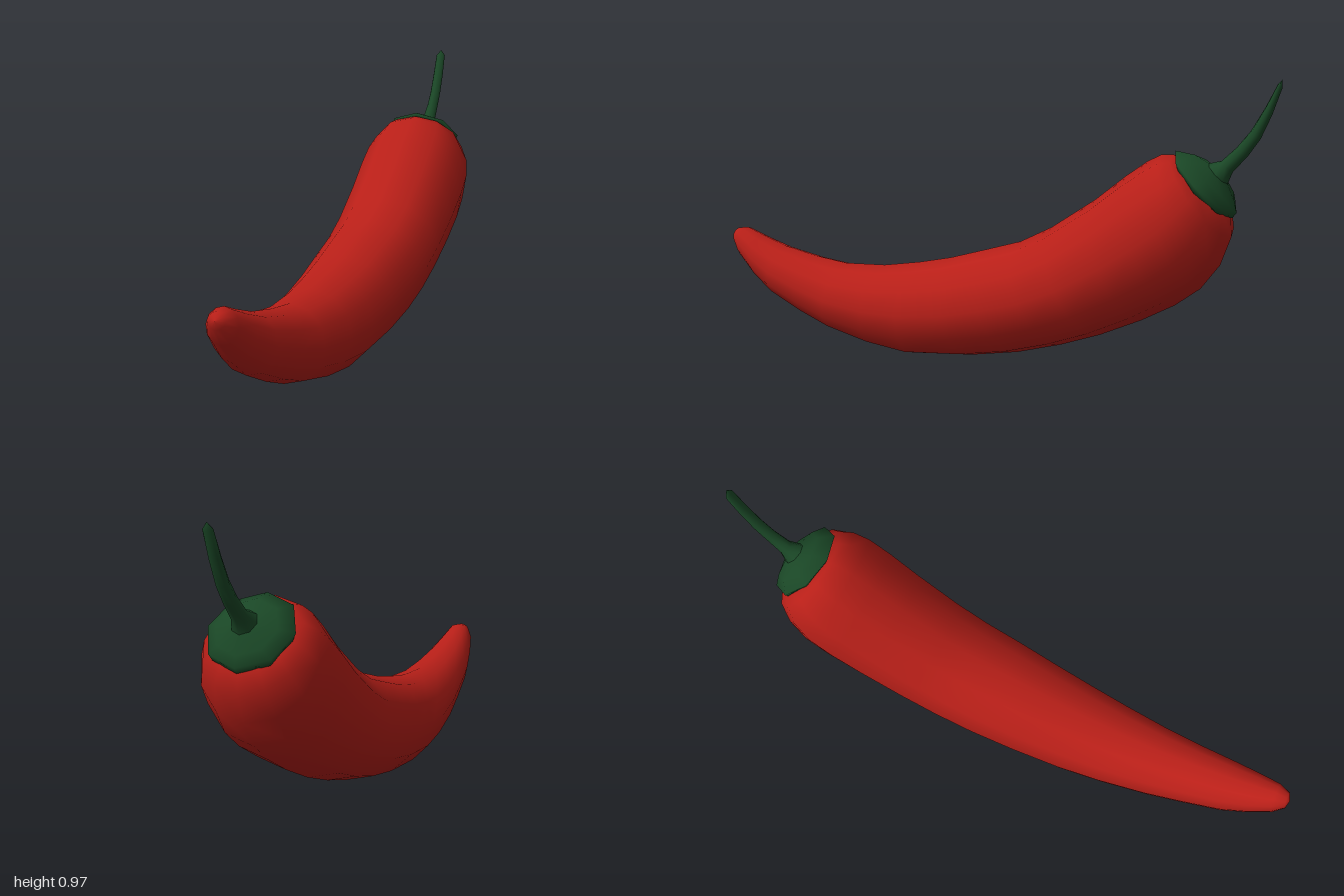
import * as THREE from 'three';

// Lofts a smooth skin through rings running from the front to the back.
// Each ring is [topZ, topY, bottomZ, bottomY, halfWidth]; a zero-size ring closes an end.
function loft(rings, sides) {
  const positions = [], index = [];
  for (const [tz, ty, bz, by, w] of rings) {
    for (let j = 0; j < sides; j++) {
      const a = (j / sides) * Math.PI * 2, c = Math.cos(a) / 2;
      positions.push(Math.sin(a) * w, (ty + by) / 2 + c * (ty - by), (tz + bz) / 2 + c * (tz - bz));
    }
  }
  for (let i = 0; i < rings.length - 1; i++) {
    for (let j = 0; j < sides; j++) {
      const k = (j + 1) % sides;
      const a = i * sides + j, b = i * sides + k, c = a + sides, d = b + sides;
      index.push(a, b, c, b, d, c);
    }
  }
  const geometry = new THREE.BufferGeometry();
  geometry.setAttribute('position', new THREE.Float32BufferAttribute(positions, 3));
  geometry.setIndex(index);
  geometry.computeVertexNormals();
  return geometry;
}

const pole = (z, y) => [z, y, z, y, 0];

export function createModel() {
  const group = new THREE.Group();
  const red = new THREE.MeshStandardMaterial({ color: 0xb81f18 });
  const green = new THREE.MeshStandardMaterial({ color: 0x1a4726 });
  const add = (name, rings, sides, material) => {
    const mesh = new THREE.Mesh(loft(rings, sides), material);
    mesh.name = name;
    group.add(mesh);
  };

  // Curved fruit, from the upturned tip to the shoulder
  add('fruit', [
    pole(1.0, 0.37),
    [0.985, 0.393, 0.998, 0.345, 0.028],
    [0.945, 0.398, 0.97, 0.295, 0.05],
    [0.88, 0.373, 0.9, 0.225, 0.07],
    [0.78, 0.34, 0.82, 0.165, 0.09],
    [0.645, 0.313, 0.69, 0.105, 0.108],
    [0.52, 0.297, 0.57, 0.06, 0.125],
    [0.36, 0.303, 0.4, 0.02, 0.146],
    [0.22, 0.325, 0.24, 0, 0.162],
    [0.1, 0.35, 0.02, 0.018, 0.176],
    [-0.04, 0.39, -0.15, 0.047, 0.187],
    [-0.16, 0.425, -0.3, 0.088, 0.192],
    [-0.27, 0.48, -0.44, 0.137, 0.196],
    [-0.42, 0.58, -0.58, 0.2, 0.202],
    [-0.52, 0.66, -0.69, 0.26, 0.206],
    [-0.59, 0.71, -0.77, 0.32, 0.204],
    [-0.635, 0.733, -0.83, 0.4, 0.188],
    [-0.672, 0.735, -0.862, 0.49, 0.158],
    [-0.71, 0.715, -0.857, 0.56, 0.115],
    pole(-0.78, 0.635),
  ], 12, red);

  // Eight-sided cap funnelling into the stem
  const neck = [-0.785, 0.712, -0.845, 0.652, 0.04];
  add('cap', [
    pole(-0.77, 0.63),
    [-0.69, 0.718, -0.862, 0.548, 0.128],
    [-0.68, 0.747, -0.875, 0.565, 0.138],
    [-0.74, 0.737, -0.867, 0.598, 0.098],
    neck,
  ], 8, green);

  // Thin stem bending upward
  add('stem', [
    neck,
    [-0.825, 0.722, -0.86, 0.69, 0.025],
    [-0.87, 0.765, -0.903, 0.738, 0.021],
    [-0.91, 0.815, -0.94, 0.792, 0.02],
    [-0.95, 0.885, -0.972, 0.865, 0.019],
    [-0.985, 0.955, -0.999, 0.945, 0.017],
    pole(-0.998, 0.97),
  ], 8, green);

  return group;
}
